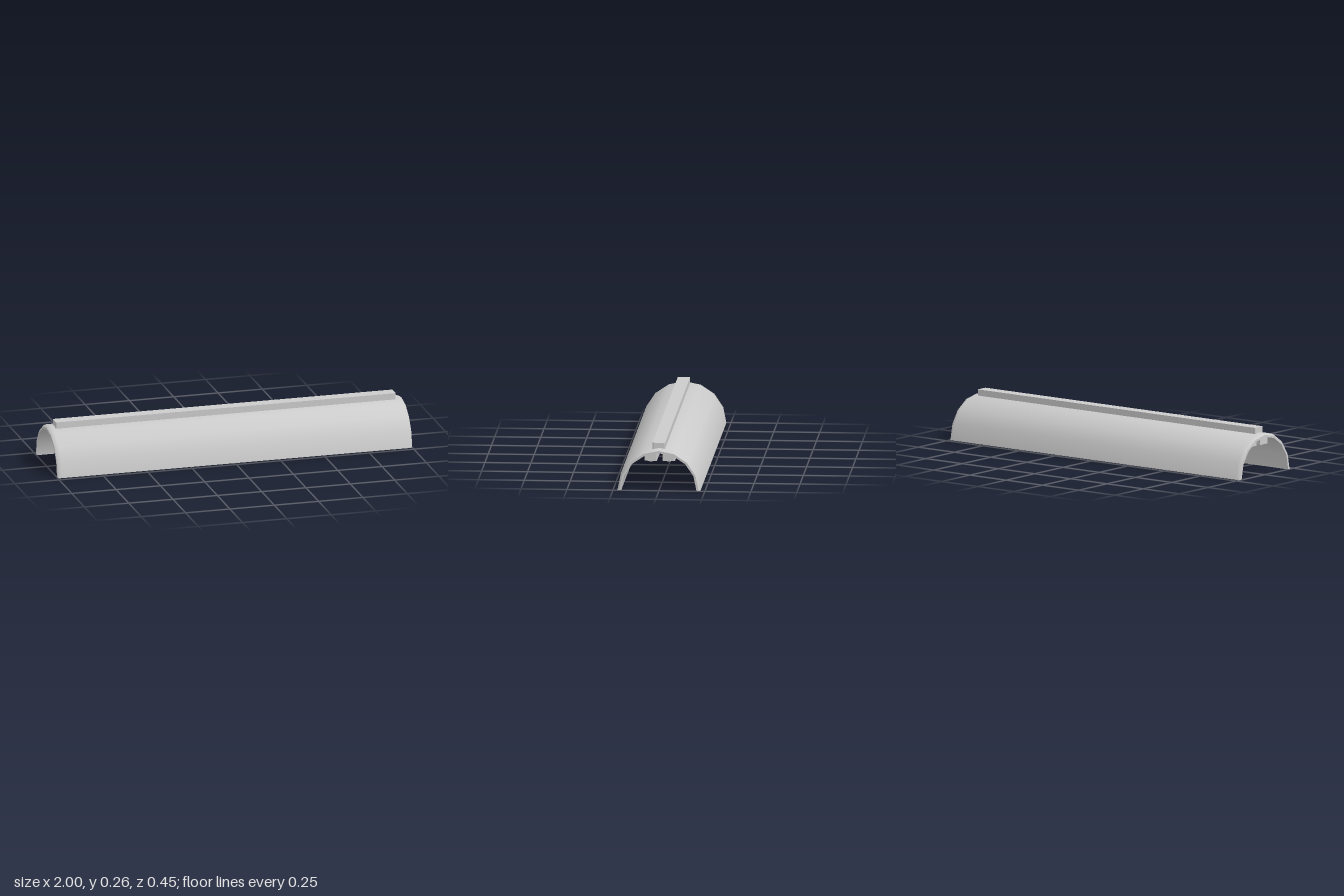
import * as THREE from 'three';
import { toCreasedNormals } from 'three/addons/utils/BufferGeometryUtils.js';

const grey = new THREE.MeshStandardMaterial({ color: 0xcccccc });
const INNER = 0.204, OUTER = 0.226, BASE = 0.003;

function addPart(parent, name, geometry, x = 0, y = 0, z = 0) {
  const mesh = new THREE.Mesh(geometry, grey);
  mesh.name = name;
  mesh.position.set(x, y, z);
  parent.add(mesh);
  return mesh;
}

// Long bar along x with slightly chamfered upright corners, standing on y = 0
function barGeometry(length, width, height, c = 0.003) {
  const a = length / 2, b = width / 2;
  const plan = new THREE.Shape([
    [-a + c, -b], [a - c, -b], [a, -b + c], [a, b - c],
    [a - c, b], [-a + c, b], [-a, b - c], [-a, -b + c],
  ].map(([x, y]) => new THREE.Vector2(x, y)));
  return new THREE.ExtrudeGeometry(plan, { depth: height, bevelEnabled: false })
    .rotateX(-Math.PI / 2);
}

// Half-round shell with rounded outer ends, turned around the x axis
function shellGeometry() {
  const profile = [
    [INNER, -1], [0.216, -1], [0.222, -0.993], [OUTER, -0.978],
    [OUTER, 0.978], [0.222, 0.993], [0.216, 1], [INNER, 1], [INNER, -1],
  ].map(([r, x]) => new THREE.Vector2(r, x));
  const lathe = new THREE.LatheGeometry(profile, 8, Math.PI, Math.PI);
  return toCreasedNormals(lathe.rotateZ(-Math.PI / 2), 0.6);
}

export function createModel() {
  const model = new THREE.Group();
  model.name = 'halfRoundLamp';

  addPart(model, 'shell', shellGeometry(), 0, BASE, 0);

  // Lower lips closing the shell wall
  for (const side of [-1, 1]) {
    addPart(model, 'shellLip', new THREE.BoxGeometry(1.99, BASE, OUTER - INNER - 0.002),
      0, BASE / 2, side * (INNER + OUTER) / 2);
  }

  // Mounting rail on the crest
  addPart(model, 'topRail', barGeometry(1.916, 0.067, 0.052), 0, 0.205, 0.003);

  // Two holders under the crest, each with a tube showing below
  for (const z of [0.047, -0.051]) {
    addPart(model, 'tubeHolder', barGeometry(1.916, 0.067, 0.045), 0, 0.157, z);
    const tube = new THREE.CylinderGeometry(0.023, 0.023, 1.88, 8)
      .rotateY(Math.PI / 8).rotateZ(Math.PI / 2);
    addPart(model, 'lampTube', tube, 0, 0.172, z);
  }
  return model;
}
